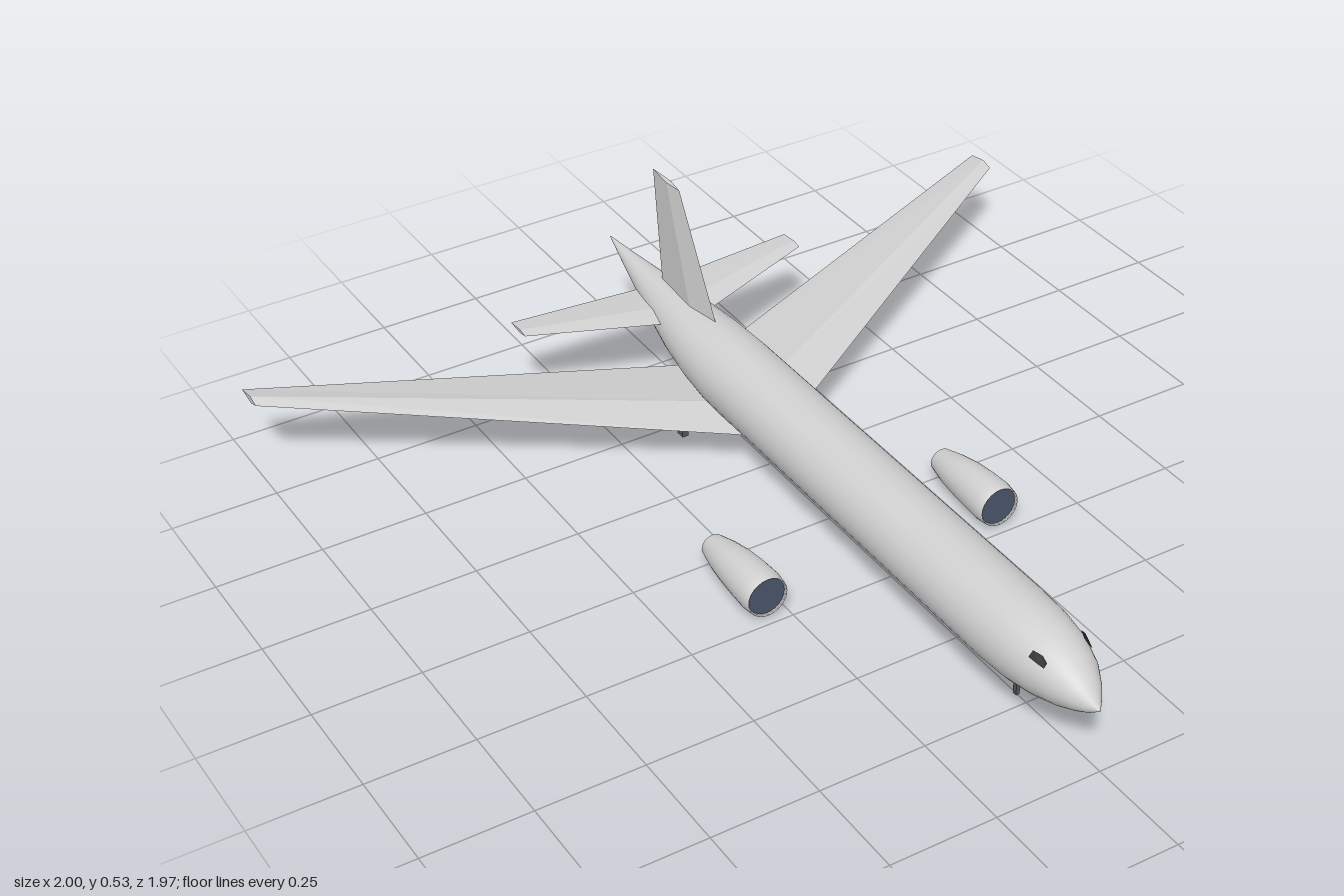
import * as THREE from 'three';
import { mergeVertices } from 'three/addons/utils/BufferGeometryUtils.js';

// Skins closed rings of points; rings run counter-clockwise around the advance direction.
function loft(rings, { smooth = false, caps = true } = {}) {
  const pos = [];
  const tri = (...pts) => pts.forEach((p) => pos.push(...p));
  const n = rings[0].length;
  for (let i = 0; i < rings.length - 1; i++) {
    for (let j = 0; j < n; j++) {
      const k = (j + 1) % n;
      const a = rings[i][j], b = rings[i][k], c = rings[i + 1][k], d = rings[i + 1][j];
      tri(a, b, c);
      tri(a, c, d);
    }
  }
  if (caps) {
    const first = rings[0], last = rings[rings.length - 1];
    for (let j = 1; j < n - 1; j++) {
      tri(first[0], first[j + 1], first[j]);
      tri(last[0], last[j], last[j + 1]);
    }
  }
  let geo = new THREE.BufferGeometry();
  geo.setAttribute('position', new THREE.Float32BufferAttribute(pos, 3));
  if (smooth) geo = mergeVertices(geo, 1e-5);
  geo.computeVertexNormals();
  return geo;
}

// Round rings from [z, radius, centreY] rows running front to back
const roundRings = (rows, sides, widen = 1) => rows.map(([z, r, cy]) =>
  Array.from({ length: sides }, (_, j) => {
    const a = (j / sides) * Math.PI * 2;
    return [Math.cos(a) * r * widen, cy - Math.sin(a) * r, z];
  }));

// Diamond-section surface on one side; stations are [x, y, leading z, trailing z, thickness]
function diamondWing(stations, side) {
  return loft(stations.map(([x, y, le, te, t]) => {
    const crest = le + (te - le) * 0.37;
    const ring = [
      [side * x, y + t / 2, crest], [side * x, y, le],
      [side * x, y - t / 2, crest], [side * x, y, te],
    ];
    return side > 0 ? ring : ring.reverse();
  }));
}

const BODY = [
  [0.987, 0.002, 0.147], [0.965, 0.021, 0.150], [0.94, 0.039, 0.156], [0.9, 0.06, 0.163],
  [0.84, 0.078, 0.166], [0.77, 0.088, 0.166], [0.68, 0.092, 0.165], [-0.4, 0.092, 0.165],
  [-0.5, 0.086, 0.17], [-0.6, 0.074, 0.178], [-0.7, 0.057, 0.19], [-0.8, 0.037, 0.203],
  [-0.9, 0.018, 0.218], [-0.987, 0.001, 0.233],
];
const WIDEN = 1.03;

// Half width of the fuselage at a given z and height
function bodyX(z, y) {
  const i = BODY.findIndex((row) => row[0] <= z);
  const [z0, r0, c0] = BODY[i - 1], [z1, r1, c1] = BODY[i];
  const t = (z - z0) / (z1 - z0);
  const r = r0 + (r1 - r0) * t, cy = c0 + (c1 - c0) * t;
  return WIDEN * Math.sqrt(Math.max(0, r * r - (y - cy) ** 2));
}

export function createModel() {
  const group = new THREE.Group();
  const material = (name, color, extra = {}) => {
    const m = new THREE.MeshStandardMaterial({ color, ...extra });
    m.name = name;
    return m;
  };
  const paint = material('light grey paint', 0xd0d0d0);
  const fanBlue = material('slate blue', 0x4a5568);
  const gearGrey = material('dark grey', 0x555555);
  const glass = material('dark glass', 0x222222, { side: THREE.DoubleSide });

  const add = (name, geo, mat, x = 0, y = 0, z = 0, parent = group) => {
    const mesh = new THREE.Mesh(geo, mat);
    mesh.name = name;
    mesh.position.set(x, y, z);
    parent.add(mesh);
    return mesh;
  };

  add('fuselage', loft(roundRings(BODY, 32, WIDEN), { smooth: true }), paint);

  // Vertical fin: [y, leading z, trailing z, thickness]
  const finRings = [[0.2, -0.456, -0.73, 0.028], [0.53, -0.637, -0.757, 0.013]].map(([y, le, te, t]) => {
    const crest = le + (te - le) * 0.4;
    return [[0, y, le], [t / 2, y, crest], [0, y, te], [-t / 2, y, crest]];
  });
  add('tailFin', loft(finRings), paint);

  // Engine shell, from inlet lip to nozzle
  const shell = loft(roundRings([
    [0.222, 0.044, 0.054], [0.23, 0.048, 0.054], [0.2, 0.052, 0.054], [0.15, 0.05, 0.054],
    [0.1, 0.046, 0.053], [0.05, 0.039, 0.05], [0, 0.028, 0.047],
  ], 24), { smooth: true, caps: false });

  for (const side of [1, -1]) {
    const label = side > 0 ? 'left' : 'right';
    add(label + 'Wing', diamondWing(
      [[0, 0.093, -0.217, -0.573, 0.044], [1, 0.202, -0.812, -0.89, 0.018]], side), paint);
    add(label + 'Stabilizer', diamondWing(
      [[0, 0.196, -0.6, -0.79, 0.02], [0.372, 0.219, -0.72, -0.79, 0.009]], side), paint);

    const engine = new THREE.Group();
    engine.name = label + 'Engine';
    engine.position.x = side * 0.3;
    group.add(engine);
    add('nacelle', shell, paint, 0, 0, 0, engine);
    add('fan', new THREE.CircleGeometry(0.0445, 24), fanBlue, 0, 0.054, 0.224, engine);
    add('nozzle', new THREE.CircleGeometry(0.028, 24), paint, 0, 0.047, 0, engine).rotation.y = Math.PI;

    add(label + 'MainGear', new THREE.BoxGeometry(0.016, 0.09, 0.024), gearGrey, side * 0.11, 0.045, -0.46);

    // Cockpit window wrapped on the nose: columns of [z, low y, high y]
    const columns = [[0.878, 0.203, 0.212], [0.862, 0.206, 0.22], [0.84, 0.211, 0.223]];
    const pts = columns.map(([z, lo, hi]) =>
      [lo, hi].map((y) => [side * (bodyX(z, y) + 0.004), y + 0.002, z]));
    const win = [];
    for (let i = 0; i < columns.length - 1; i++) {
      const [a, b] = pts[i], [d, c] = pts[i + 1];
      const quad = side > 0 ? [a, d, c, a, c, b] : [a, c, d, a, b, c];
      quad.forEach((p) => win.push(...p));
    }
    const winGeo = new THREE.BufferGeometry();
    winGeo.setAttribute('position', new THREE.Float32BufferAttribute(win, 3));
    winGeo.computeVertexNormals();
    add(label + 'CockpitWindow', winGeo, glass);
  }

  add('noseGear', new THREE.BoxGeometry(0.009, 0.09, 0.011), gearGrey, 0, 0.045, 0.715);
  return group;
}
